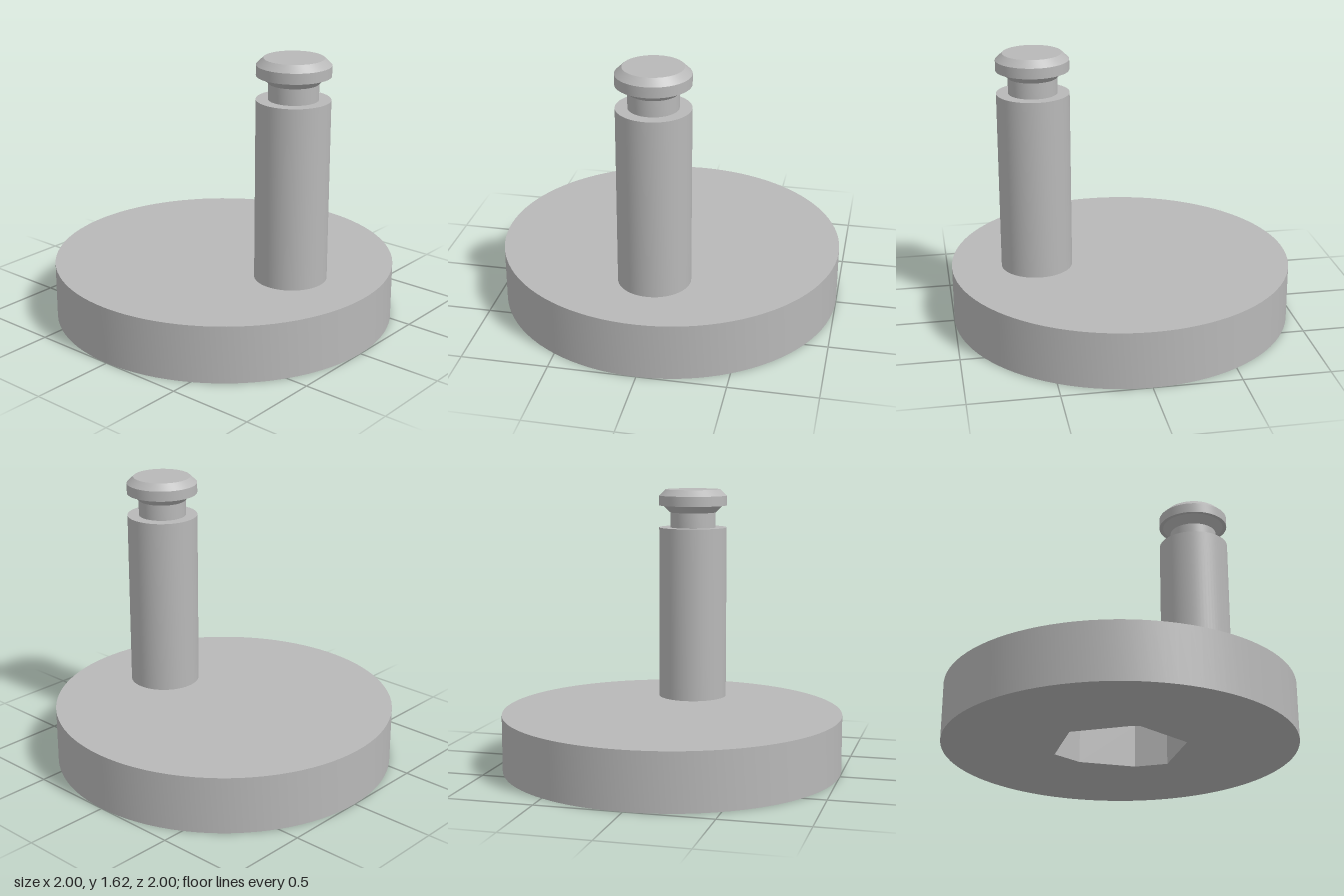
import * as THREE from 'three';
import { toCreasedNormals } from 'three/addons/utils/BufferGeometryUtils.js';

const DISC_TOP = 0.333;
const POCKET_DEPTH = 0.25;

export function createModel() {
  const model = new THREE.Group();
  model.name = 'discWithPin';
  const grey = new THREE.MeshStandardMaterial({ color: 0xb8b8b8 });
  grey.name = 'grey';

  const add = (name, geometry, x = 0, y = 0) => {
    const mesh = new THREE.Mesh(geometry, grey);
    mesh.name = name;
    mesh.position.set(x, y, 0);
    model.add(mesh);
  };
  // Turned part with sharp edges between profile segments
  const turned = (profile, segments) => toCreasedNormals(
    new THREE.LatheGeometry(profile.map(([r, y]) => new THREE.Vector2(r, y)), segments), 0.5);
  // Flat face looking down, drawn in x and z
  const faceDown = (shape, segments) => new THREE.ShapeGeometry(shape, segments).rotateX(Math.PI / 2);

  // Disc rim and top
  add('disc', turned([[1, 0], [1, DISC_TOP], [0, DISC_TOP]], 96));

  // Key outline: a hexagon with one corner cut off between edge midpoints
  const flat = 1 / 3;
  const polar = (r, degrees) => {
    const a = THREE.MathUtils.degToRad(degrees);
    return new THREE.Vector2(r * Math.cos(a), r * Math.sin(a));
  };
  const outline = [];
  for (let angle = -20; angle <= 220; angle += 60) outline.push(polar(flat / Math.cos(Math.PI / 6), angle));
  outline.push(polar(flat, 250), polar(flat, 310));

  // Underside with the pocket opening
  const underside = new THREE.Shape(
    Array.from({ length: 96 }, (_, i) => polar(1, i * 360 / 96)));
  underside.holes.push(new THREE.Path(outline));
  add('underside', faceDown(underside));

  // Pocket walls and ceiling
  const walls = [];
  outline.forEach((a, i) => {
    const b = outline[(i + 1) % outline.length];
    const a0 = [a.x, 0, a.y], a1 = [a.x, POCKET_DEPTH, a.y];
    const b0 = [b.x, 0, b.y], b1 = [b.x, POCKET_DEPTH, b.y];
    walls.push(...a0, ...b0, ...b1, ...a0, ...b1, ...a1);
  });
  const wallGeometry = new THREE.BufferGeometry();
  wallGeometry.setAttribute('position', new THREE.Float32BufferAttribute(walls, 3));
  wallGeometry.computeVertexNormals();
  add('pocketWalls', wallGeometry);
  add('pocketCeiling', faceDown(new THREE.Shape(outline)), 0, POCKET_DEPTH);

  // Off-centre pin: shaft, groove and chamfered head
  add('pin', turned([
    [0.208, DISC_TOP], [0.208, 1.385], [0.14, 1.385], [0.14, 1.477],
    [0.185, 1.52], [0.208, 1.52], [0.208, 1.58], [0.168, 1.618], [0, 1.618],
  ], 64), 0.5);

  return model;
}
